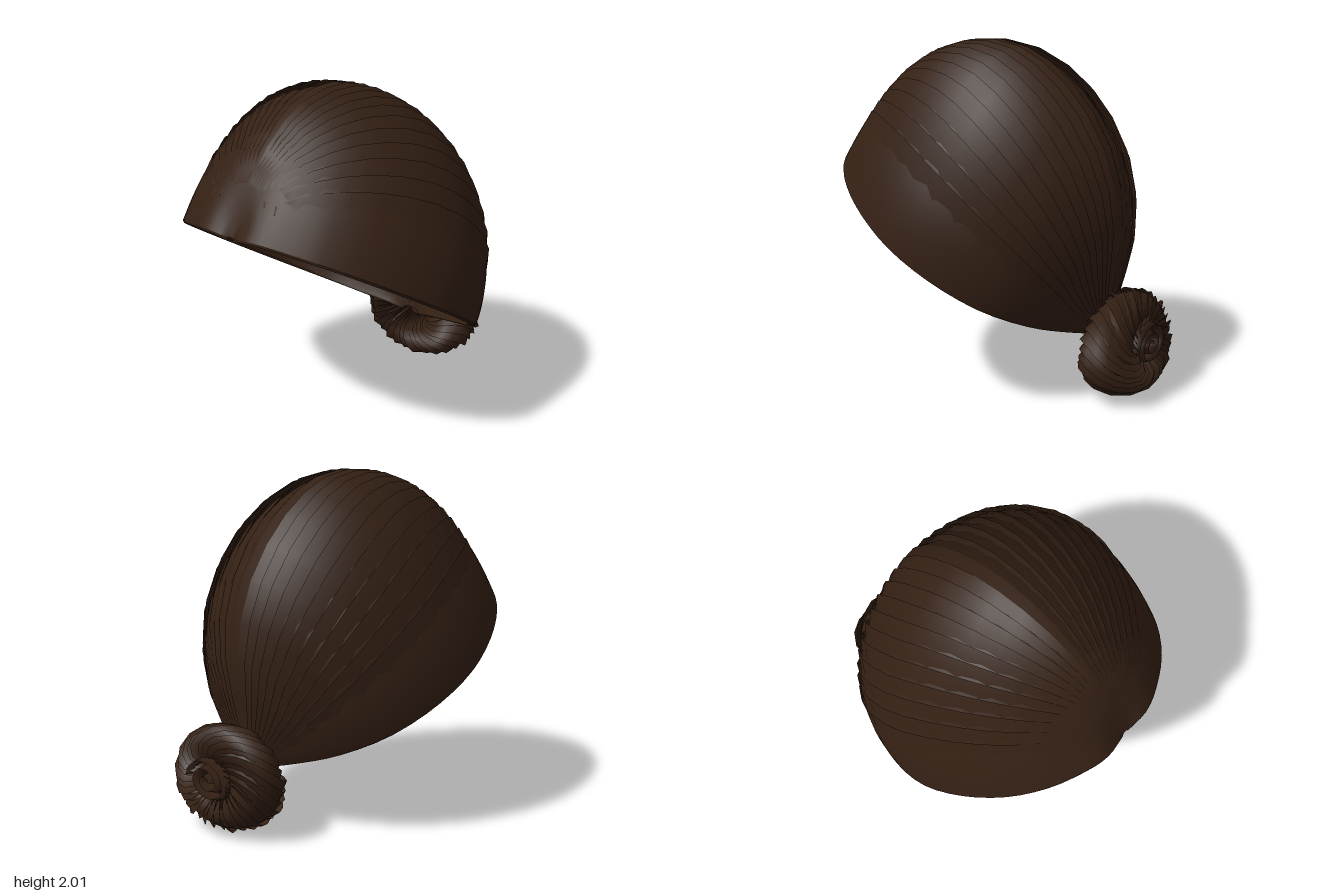
import * as THREE from 'three';
import { ParametricGeometry } from 'three/addons/geometries/ParametricGeometry.js';

const hair = new THREE.MeshStandardMaterial({ color: 0x342014, side: THREE.DoubleSide });

// Cap sections from forehead to nape: distance along the rim, height above it, half width
const sections = new THREE.CatmullRomCurve3([
  [0.005, 0.01, 0.02], [-0.01, 0.317, 0.17], [0.042, 0.609, 0.32], [0.159, 0.834, 0.51],
  [0.338, 1.002, 0.68], [0.581, 1.103, 0.815], [0.85, 1.103, 0.892], [1.135, 1.019, 0.88],
  [1.42, 0.841, 0.775], [1.644, 0.568, 0.565], [1.766, 0.291, 0.35], [1.885, 0.02, 0.06],
].map((p) => new THREE.Vector3(...p)));
const section = new THREE.Vector3();

// Point on the cap: t runs front to back, phi from the left rim over the crown to the right rim.
// The section is squarish at the front and pinches towards the nape; lift raises it off the shell.
function capPoint(t, phi, lift, target) {
  sections.getPoint(t, section);
  const c = Math.cos(phi), s = Math.sin(phi);
  const power = 2.25 - 0.35 * THREE.MathUtils.smoothstep(t, 0.45, 1);
  const inset = 1 - 0.035 * s * s;
  const r = inset / Math.pow(Math.abs(c) ** power + Math.abs(s) ** power, 1 / power);
  const h = section.y * r * s + lift * s;
  const rimRise = 0.035 * Math.pow(Math.max(0, Math.sin(Math.PI * t)), 0.6) * (1 - s);
  target.set(
    (section.z * r + lift) * c,
    1.32 - 0.52 * section.x + 0.854 * h + rimRise,
    0.97 - 0.854 * section.x - 0.52 * h,
  );
}

// Point on the bun: u runs round the ring, v round its rope-like thickness, slimmer at the top
function bunPoint(u, v, tube, target) {
  const ring = 0.25 + tube * Math.cos(v);
  const depth = tube * (1.02 - 0.14 * Math.sin(u));
  target.set(ring * Math.cos(u), 0.3 + 0.73 * ring * Math.sin(u), -0.785 + depth * Math.sin(v));
}

function surface(parent, name, fn, nu, nv) {
  const mesh = new THREE.Mesh(new ParametricGeometry(fn, nu, nv), hair);
  mesh.name = name;
  parent.add(mesh);
}

function createCap() {
  const cap = new THREE.Group();
  cap.name = 'hairCap';
  surface(cap, 'capShell', (u, v, p) => capPoint(u, Math.PI * v, 0, p), 33, 60);

  // Lip tucked under each side of the rim, wider towards the nape
  for (const side of [1, -1]) {
    surface(cap, 'rimLip', (u, v, p) => {
      capPoint(u, 0, 0, p);
      p.x *= side * (1 - v * (0.01 + 0.1 * u * u));
      p.y -= 0.015 * Math.sin(v * Math.PI * 0.7);
    }, 33, 3);
  }

  // Lapped strands, each raised on the edge nearer the parting
  const step = THREE.MathUtils.degToRad(6);
  for (let i = -11; i <= 11; i++) {
    const start = 0.03 + 0.018 * Math.max(0, Math.abs(i) - 5);
    surface(cap, 'capStrand', (u, v, p) => {
      const t = THREE.MathUtils.lerp(start, 1, u);
      const phi = Math.PI / 2 + (i + (v - 0.5) * 1.1) * step;
      const edge = i === 0 ? 0.9 : i > 0 ? 1 - v : v;
      const fade = Math.pow(Math.max(0, Math.sin(Math.PI * u)), 0.45) * Math.sin(phi);
      capPoint(t, phi, (0.046 * edge - 0.003) * fade, p);
    }, 16, 3);
  }
  return cap;
}

function createBun() {
  const bun = new THREE.Group();
  bun.name = 'bun';
  surface(bun, 'bunCore', (u, v, p) => bunPoint(u * Math.PI * 2, v * Math.PI * 2, 0.138, p), 48, 18);

  // Twisted strands lapped round the ring
  const count = 28;
  for (let i = 0; i < count; i++) {
    const size = 0.165 + 0.007 * Math.sin(i * 2.4);
    surface(bun, 'bunStrand', (u, v, p) => {
      const around = u * Math.PI * 2;
      const twist = 0.55 * Math.sin(around + 0.6);
      const along = ((i + v * 1.15) / count) * Math.PI * 2 + twist;
      bunPoint(along, around, size - 0.034 * v, p);
    }, 14, 2);
  }

  // Coiled ends winding into the middle, standing proud at the back
  class Coil extends THREE.Curve {
    getPoint(t, target = new THREE.Vector3()) {
      const a = t * Math.PI * 5;
      const r = 0.19 - 0.165 * t;
      return target.set(r * Math.cos(a), 0.3 + 0.65 * r * Math.sin(a), 0);
    }
  }
  const coil = new THREE.Mesh(new THREE.TubeGeometry(new Coil(), 80, 0.016, 6), hair);
  coil.name = 'bunCoil';
  coil.scale.z = 6;
  coil.position.z = -0.855;
  bun.add(coil);
  return bun;
}

export function createModel() {
  const model = new THREE.Group();
  model.name = 'hairWithBun';
  model.add(createCap(), createBun());

  // Lock of hair joining the cap to the bun
  const lock = new THREE.Mesh(new THREE.SphereGeometry(1, 20, 12), hair);
  lock.name = 'gatheredLock';
  lock.scale.set(0.08, 0.08, 0.06);
  lock.position.set(-0.02, 0.5, -0.65);
  model.add(lock);
  return model;
}
